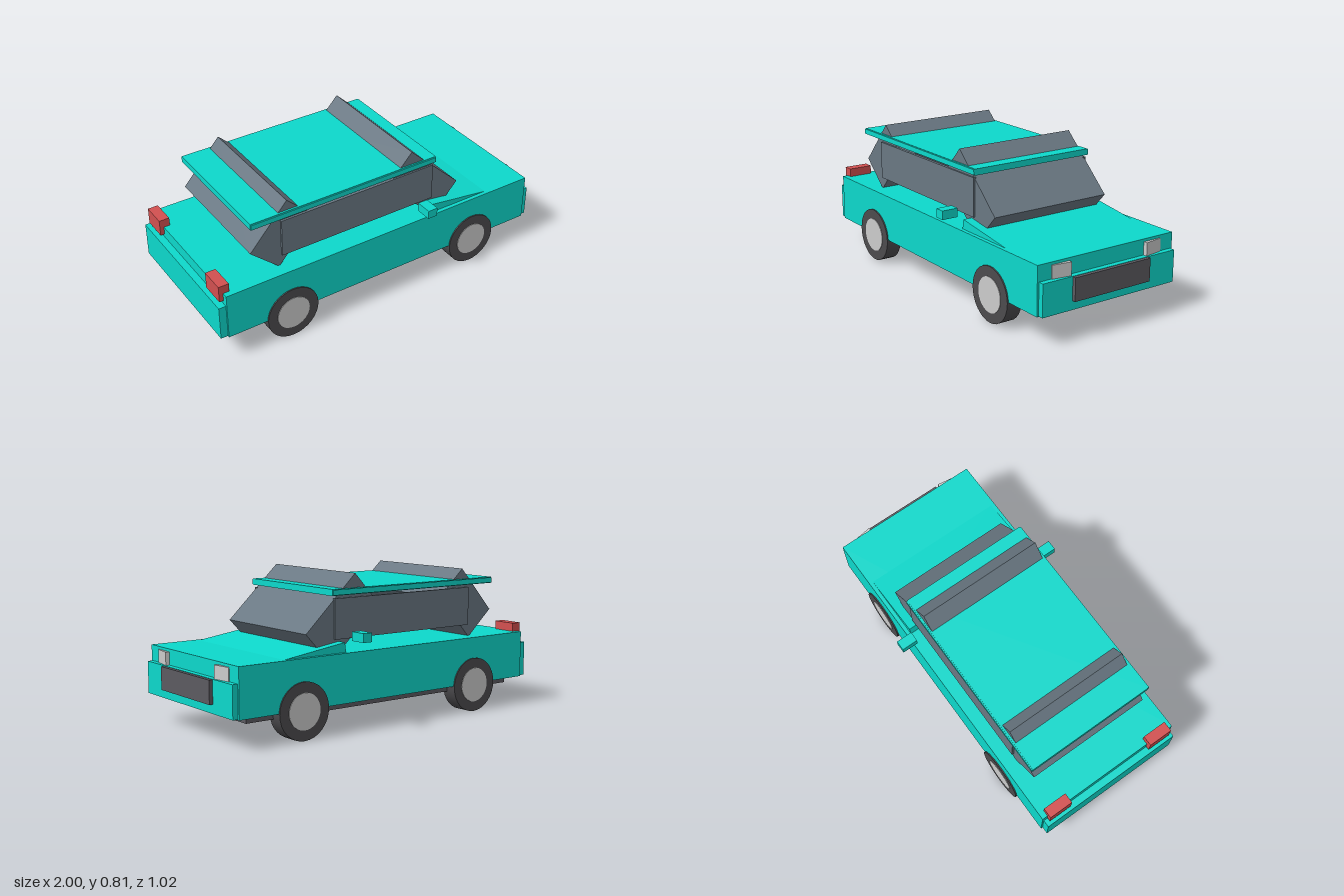
import * as THREE from 'three';

const paint = new THREE.MeshStandardMaterial({ color: 0x0dd8cb });
const glass = new THREE.MeshStandardMaterial({ color: 0x6a7883 });
const trim = new THREE.MeshStandardMaterial({ color: 0x5c5a60 });
const rubber = new THREE.MeshStandardMaterial({ color: 0x4c4b4e });
const red = new THREE.MeshStandardMaterial({ color: 0xd25050 });
const grey = new THREE.MeshStandardMaterial({ color: 0xcccccc });

export function createModel() {
  const car = new THREE.Group();
  car.name = 'car';

  function add(name, geometry, material, x, y, z) {
    const mesh = new THREE.Mesh(geometry, material);
    mesh.name = name;
    mesh.position.set(x, y, z);
    car.add(mesh);
    return mesh;
  }

  // Box given by its lower and upper limits on each axis
  function block(name, material, [x0, x1], [y0, y1], [z0, z1]) {
    const geometry = new THREE.BoxGeometry(x1 - x0, y1 - y0, z1 - z0);
    return add(name, geometry, material, (x0 + x1) / 2, (y0 + y1) / 2, (z0 + z1) / 2);
  }

  // Lower body, nose towards +x
  block('body', paint, [-0.96, 0.95], [0.155, 0.415], [-0.43, 0.43]);
  block('underbody', trim, [-0.885, 0.88], [0.12, 0.165], [-0.377, 0.377]);
  block('frontBumper', paint, [0.93, 0.98], [0.158, 0.33], [-0.42, 0.42]);
  block('rearBumper', paint, [-1, -0.95], [0.158, 0.35], [-0.42, 0.42]);
  block('grille', trim, [0.96, 1], [0.205, 0.328], [-0.24, 0.24]);

  // Sloping bonnet wedge rising out of the body
  const wedge = new THREE.Shape([
    new THREE.Vector2(0.29, 0.40), new THREE.Vector2(0.68, 0.40),
    new THREE.Vector2(0.68, 0.414), new THREE.Vector2(0.30, 0.467),
  ]);
  add('bonnet', new THREE.ExtrudeGeometry(wedge, { depth: 0.816, bevelEnabled: false }),
    paint, 0, 0, -0.408);

  // Roof panel with slim edge rails
  block('roof', paint, [-0.774, 0.347], [0.702, 0.736], [-0.366, 0.366]);

  // Thick tilted glass blocks that pass through the roof
  const windshield = add('windshield', new THREE.BoxGeometry(0.427, 0.223, 0.716), glass, 0.275, 0.583, 0);
  windshield.rotation.z = -0.75;
  const rearWindow = add('rearWindow', new THREE.BoxGeometry(0.323, 0.217, 0.71), glass, -0.588, 0.6, 0);
  rearWindow.rotation.z = 0.838;

  const tireGeometry = new THREE.CylinderGeometry(0.15, 0.15, 0.088, 32).rotateX(Math.PI / 2);
  const hubGeometry = new THREE.CylinderGeometry(0.095, 0.095, 0.094, 32).rotateX(Math.PI / 2);

  // Mirrored side parts
  for (const s of [1, -1]) {
    const span = (a, b) => (s > 0 ? [a, b] : [-b, -a]);
    block('roofRail', paint, [-0.772, 0.345], [0.705, 0.733], span(0.36, 0.373));
    block('sideWindow', glass, [-0.6, 0.332], [0.478, 0.688], span(0.35, 0.367));
    block('mirror', paint, [0.205, 0.262], [0.472, 0.52], span(0.418, 0.51));
    block('tailLight', red, [-0.983, -0.925], [0.37, 0.462], span(0.26, 0.398));

    // Headlights turned slightly outwards
    const light = add('headlight', new THREE.BoxGeometry(0.04, 0.09, 0.108), grey, 0.943, 0.355, s * 0.291);
    light.rotation.y = -s * 0.15;

    for (const x of [-0.587, 0.573]) {
      add('tire', tireGeometry, rubber, x, 0.15, s * 0.393);
      add('hub', hubGeometry, grey, x, 0.15, s * 0.393);
    }
  }
  return car;
}
